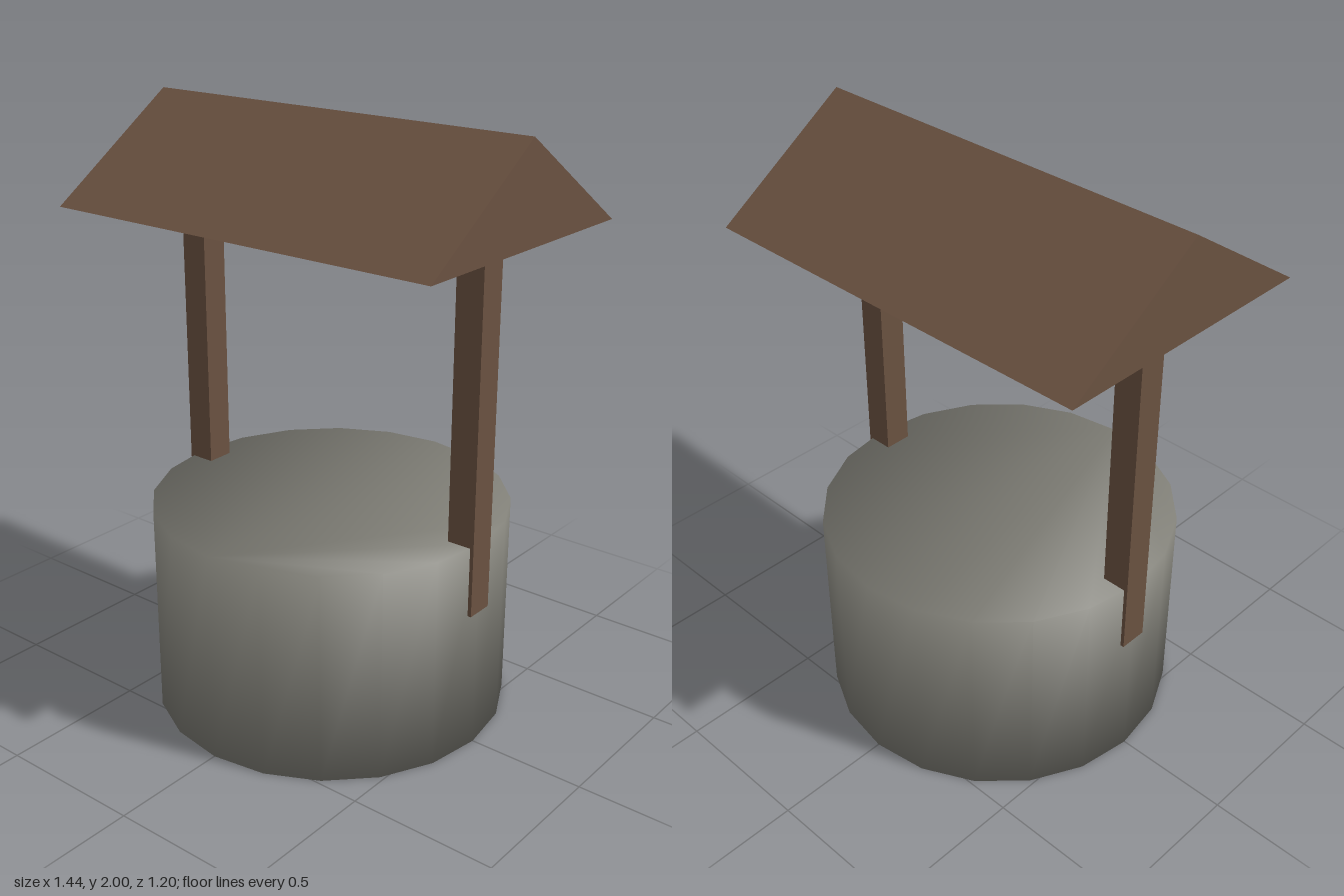
import * as THREE from 'three';

const wood = new THREE.MeshStandardMaterial({ color: 0x6b5241 });
wood.name = 'brown wood';
const stone = new THREE.MeshStandardMaterial({ color: 0x807f77 });
stone.name = 'grey stone';

// Closed drum whose walls and caps share softened rim normals
function drumGeometry(radius, height, sides) {
  const positions = [], normals = [], index = [];
  const tilt = Math.SQRT1_2;
  for (let i = 0; i < sides; i++) {
    const a = (i / sides) * Math.PI * 2;
    const s = Math.sin(a), c = Math.cos(a);
    positions.push(radius * s, 0, radius * c, radius * s, height, radius * c);
    normals.push(s * tilt, -tilt, c * tilt, s * tilt, tilt, c * tilt);
    const b = 2 * i, n = 2 * ((i + 1) % sides);
    index.push(b, n, n + 1, b, n + 1, b + 1);
    // caps fan out from the first rim corner
    if (i > 0 && i < sides - 1) index.push(1, b + 1, n + 1, 0, n, b);
  }
  const geometry = new THREE.BufferGeometry();
  geometry.setAttribute('position', new THREE.Float32BufferAttribute(positions, 3));
  geometry.setAttribute('normal', new THREE.Float32BufferAttribute(normals, 3));
  geometry.setIndex(index);
  return geometry;
}

export function createModel() {
  const model = new THREE.Group();
  model.name = 'well';

  function add(name, geometry, material, x = 0, y = 0, z = 0) {
    const mesh = new THREE.Mesh(geometry, material);
    mesh.name = name;
    mesh.position.set(x, y, z);
    model.add(mesh);
  }

  // Stone base
  add('stoneBase', drumGeometry(0.6, 0.72, 20), stone);

  // Posts straddling the rim
  const post = new THREE.BoxGeometry(0.096, 1.2, 0.096);
  add('leftPost', post, wood, 0.557, 1.084);
  add('rightPost', post, wood, -0.557, 1.084);

  // Gabled roof: triangle in the zy plane, extruded along x
  const gable = new THREE.Shape([
    new THREE.Vector2(-0.478, 0),
    new THREE.Vector2(0.478, 0),
    new THREE.Vector2(0, 0.319),
  ]);
  const roof = new THREE.ExtrudeGeometry(gable, { depth: 1.44, bevelEnabled: false });
  roof.translate(0, 0, -0.72).rotateY(Math.PI / 2);
  add('roof', roof, wood, 0, 1.681);

  return model;
}
